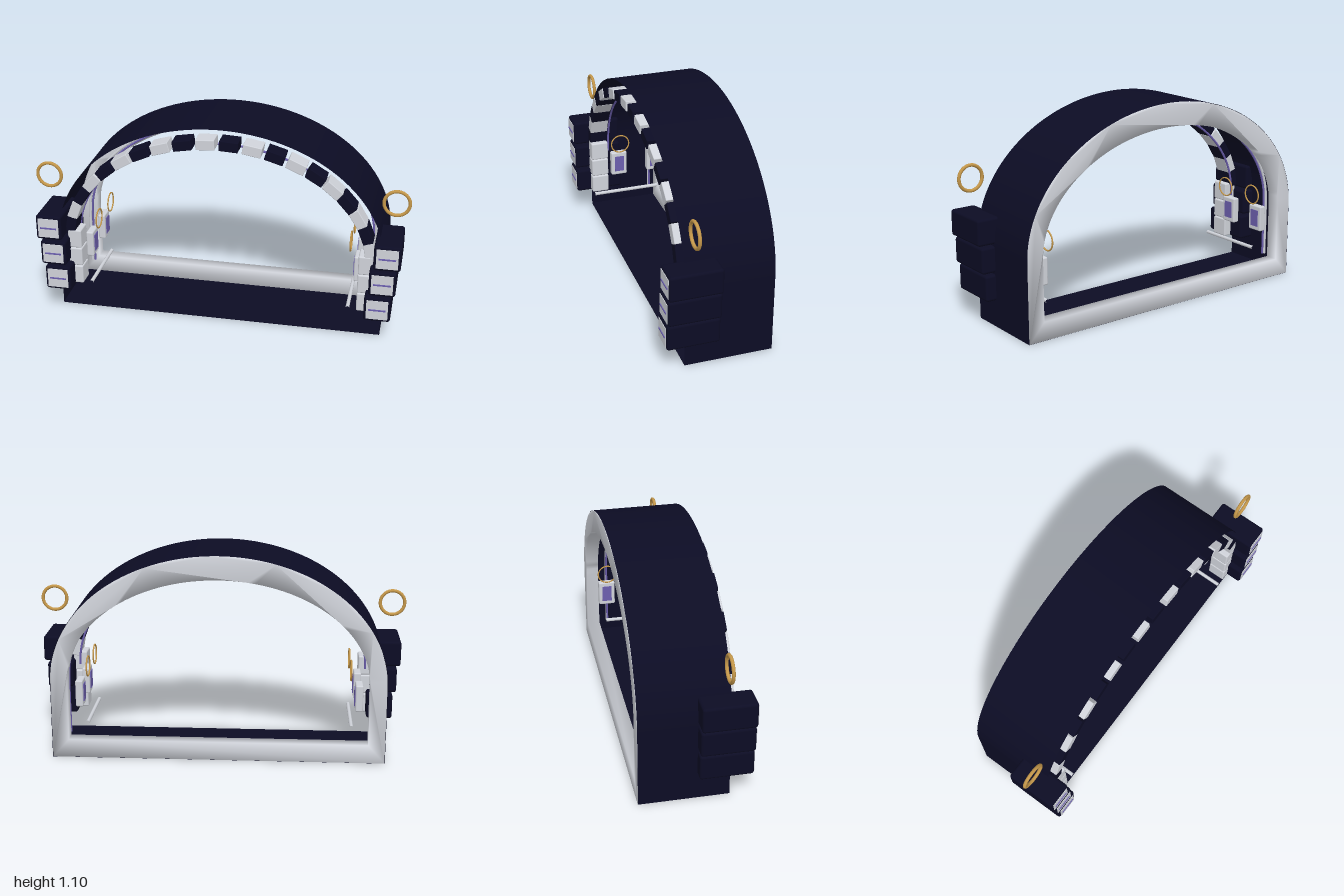
import * as THREE from 'three';
import { mergeVertices } from 'three/addons/utils/BufferGeometryUtils.js';
import { RoundedBoxGeometry } from 'three/addons/geometries/RoundedBoxGeometry.js';

const SPRING = 0.42; // height where the straight legs turn into the arch
const BACK = -0.29, FRONT = 0.175;

function material(name, color) {
  const m = new THREE.MeshStandardMaterial({ color });
  m.name = name;
  return m;
}

// Points from the left foot over the arch to the right foot
function archPoints(a, b, foot, steps = 64) {
  const pts = [new THREE.Vector2(-a, foot)];
  for (let i = 0; i <= steps; i++) {
    const t = Math.PI * (1 - i / steps);
    pts.push(new THREE.Vector2(a * Math.cos(t), SPRING + b * Math.sin(t)));
  }
  pts.push(new THREE.Vector2(a, foot));
  return pts;
}

export function createModel() {
  const model = new THREE.Group();
  const navy = material('navy', 0x0c0c24);
  navy.side = THREE.DoubleSide;
  const silver = material('silver', 0xd0d3da);
  const purple = material('purple', 0x6c5fae);
  const gold = material('gold', 0xc4974a);

  function add(name, geometry, mat, x = 0, y = 0, z = 0, parent = model) {
    const mesh = new THREE.Mesh(geometry, mat);
    mesh.name = name;
    mesh.position.set(x, y, z);
    parent.add(mesh);
    return mesh;
  }
  const rounded = (w, h, d, r = 0.01) => new RoundedBoxGeometry(w, h, d, 2, r);

  // Thin tunnel shell, open at both ends
  const outline = archPoints(0.88, 0.68, 0);
  const pos = [], index = [];
  outline.forEach((p, i) => {
    pos.push(p.x, p.y, BACK, p.x, p.y, FRONT);
    if (i) {
      const k = 2 * i;
      index.push(k - 2, k - 1, k, k - 1, k + 1, k);
    }
  });
  const shell = new THREE.BufferGeometry();
  shell.setAttribute('position', new THREE.Float32BufferAttribute(pos, 3));
  shell.setIndex(index);
  shell.computeVertexNormals();
  add('tunnelShell', shell, navy);
  add('floor', new THREE.BoxGeometry(1.76, 0.004, FRONT - BACK), navy, 0, 0.002, (FRONT + BACK) / 2);

  // Softly shaded frame round the back opening
  const frameShape = new THREE.Shape(archPoints(0.878, 0.678, 0.001));
  frameShape.holes.push(new THREE.Path(archPoints(0.79, 0.555, 0.1).reverse()));
  let frame = new THREE.ExtrudeGeometry(frameShape, { depth: 0.07, bevelEnabled: false });
  frame.deleteAttribute('normal');
  frame.deleteAttribute('uv');
  frame = mergeVertices(frame, 1e-4);
  frame.computeVertexNormals();
  add('backFrame', frame, silver, 0, 0, BACK - 0.001);

  // Slim trim lines inside the arch
  function trim(name, a, b, foot, z, radius, mat) {
    const path = new THREE.CatmullRomCurve3(
      archPoints(a, b, foot, 32).map(p => new THREE.Vector3(p.x, p.y, z)));
    add(name, new THREE.TubeGeometry(path, 96, radius, 6), mat);
  }
  trim('frontTrim', 0.785, 0.572, 0.4, 0.09, 0.006, purple);
  trim('backTrim', 0.815, 0.6, 0.1, -0.17, 0.008, silver);
  trim('backAccentTrim', 0.8, 0.585, 0.1, -0.17, 0.006, purple);

  // Alternating blocks along the front of the arch
  const archBlock = rounded(0.1, 0.055, 0.1, 0.004);
  for (let i = 0; i < 20; i++) {
    const t = THREE.MathUtils.degToRad((i - 9.5) * 8.7);
    const block = add('archBlock', archBlock, i % 2 ? silver : navy,
      0.81 * Math.sin(t), SPRING + 0.602 * Math.cos(t), 0.148);
    block.rotation.z = Math.atan2(-0.602 * Math.sin(t), 0.81 * Math.cos(t));
  }

  for (const s of [-1, 1]) {
    const side = new THREE.Group();
    side.name = s > 0 ? 'leftSide' : 'rightSide';
    model.add(side);
    const put = (name, geometry, mat, x, y, z) => add(name, geometry, mat, s * x, y, z, side);

    // Stacked outer cabinets with faceplates and a handle line
    for (let i = 0; i < 3; i++) {
      const x = 0.865 + i * 0.018, y = 0.212 + i * 0.149;
      put('cabinet', rounded(0.14, 0.138, 0.275, 0.014), navy, x, y, 0.1465);
      put('cabinetFace', new THREE.BoxGeometry(0.113, 0.108, 0.006), silver, x, y, 0.284);
      put('handleLine', new THREE.BoxGeometry(0.09, 0.008, 0.006), purple, x, y, 0.288);
    }

    // Pillar of silver stones
    for (let i = 0; i < 3; i++) {
      put('pillarStone', rounded(0.075, 0.105, 0.1, 0.008), silver, 0.787, 0.2 + i * 0.108, 0.15);
    }

    // Wall panels with an inset and a small ring above each
    for (const z of [0.04, -0.18]) {
      put('wallPanel', rounded(0.04, 0.145, 0.095, 0.008), silver, 0.74, 0.333, z);
      put('panelInset', new THREE.BoxGeometry(0.006, 0.095, 0.055), purple, 0.719, 0.333, z);
      const ring = put('smallRing', new THREE.TorusGeometry(0.053, 0.004, 8, 32), gold, 0.695, 0.475, z);
      ring.rotation.y = Math.PI / 2;
    }

    // Low rail and large floating ring
    const rail = put('rail', new THREE.CylinderGeometry(0.01, 0.01, 0.39, 10, 1, true), silver, 0.705, 0.16, 0.005);
    rail.rotation.x = Math.PI / 2;
    put('largeRing', new THREE.TorusGeometry(0.066, 0.009, 10, 40), gold, 0.925, 0.763, 0.145);
  }
  return model;
}
